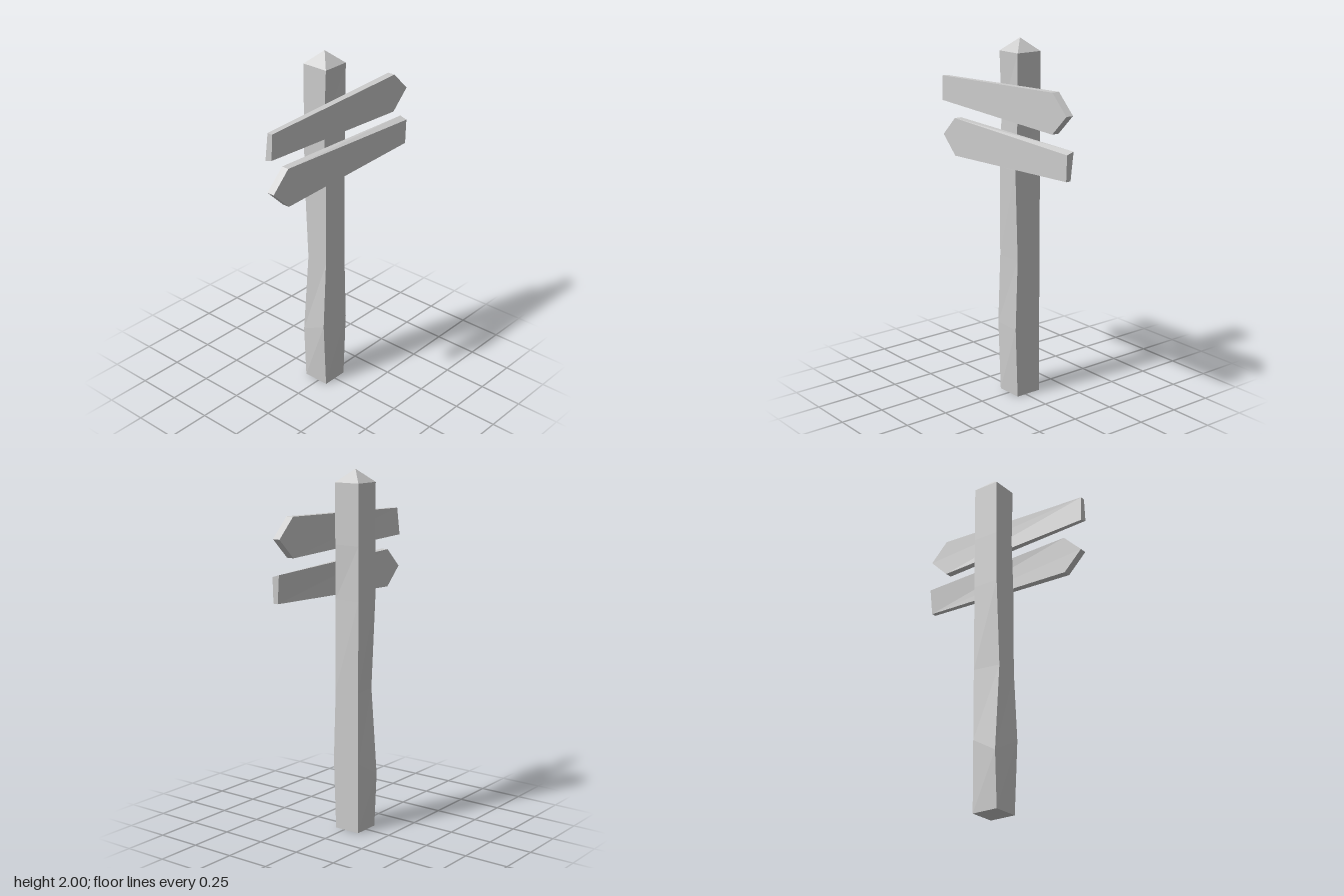
import * as THREE from 'three';

const material = new THREE.MeshStandardMaterial({ color: 0xcccccc, flatShading: true });

// Closed solid through equal-sized rings, each counterclockwise seen from the last ring's end
function loft(rings) {
  const pos = [];
  const tri = (...pts) => pts.forEach((p) => pos.push(...p));
  const n = rings[0].length;
  for (let r = 0; r < rings.length - 1; r++) {
    const a = rings[r], b = rings[r + 1];
    for (let i = 0; i < n; i++) {
      const j = (i + 1) % n;
      tri(a[i], a[j], b[j]);
      tri(a[i], b[j], b[i]);
    }
  }
  const first = rings[0], last = rings[rings.length - 1];
  for (let i = 1; i < n - 1; i++) {
    tri(first[0], first[i + 1], first[i]);
    tri(last[0], last[i], last[i + 1]);
  }
  const geometry = new THREE.BufferGeometry();
  geometry.setAttribute('position', new THREE.Float32BufferAttribute(pos, 3));
  geometry.computeVertexNormals();
  return geometry;
}

function addMesh(parent, name, geometry) {
  const mesh = new THREE.Mesh(geometry, material);
  mesh.name = name;
  parent.add(mesh);
  return mesh;
}

export function createModel() {
  const group = new THREE.Group();
  group.name = 'signpost';
  const cx = -0.019, h = 0.077;

  // Square post whose corners are knocked in and out at several heights
  const square = (y) => [[cx + h, y, h], [cx + h, y, -h], [cx - h, y, -h], [cx - h, y, h]];
  const rings = [0, 0.4, 0.8, 1.3, 1.6, 1.93].map(square);
  rings[1][0] = [0.058, 0.4, 0.097];
  rings[1][1] = [0.072, 0.4, -h];
  rings[1][3] = [-0.11, 0.31, h];
  rings[2][3] = [-0.072, 0.8, h];
  rings[3][1] = [0.065, 1.3, -0.066];
  rings[4][0] = [0.045, 1.6, h];
  addMesh(group, 'post', loft(rings));

  // Low pyramid cap
  const cap = addMesh(group, 'postCap', new THREE.ConeGeometry(h * Math.SQRT2, 0.07, 4, 1, true).rotateY(Math.PI / 4));
  cap.position.set(cx, 1.965, 0);

  // Arrow board pointing to -z, with a slightly twisted inner face at the tail
  const inner = [[0.08, 0.075, 0.53], [0.066, -0.077, 0.535], [0.066, -0.107, -0.418], [0.066, 0, -0.527], [0.066, 0.107, -0.418]];
  const outer = inner.map(([, y, z]) => [0.109, y, z]);
  outer[1][1] = -0.064;
  const board = loft([inner, outer]);
  addMesh(group, 'upperBoard', board).position.y = 1.67;

  // The lower board is the same one turned over to point the other way
  const lower = addMesh(group, 'lowerBoard', board);
  lower.position.y = 1.413;
  lower.rotation.x = Math.PI;

  return group;
}
